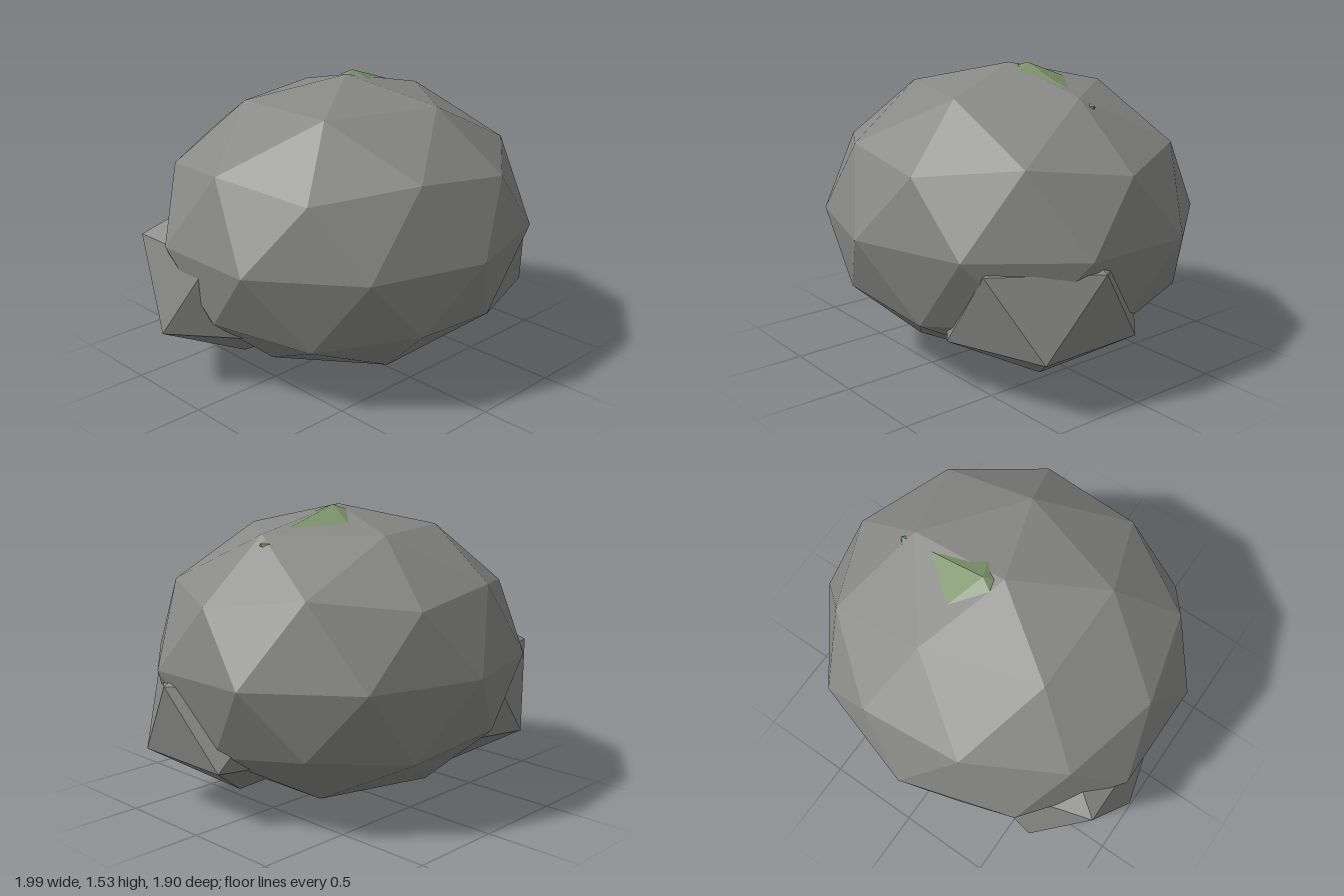
import * as THREE from 'three';

// Faceted ball standing on a pole, with one upper-ring corner pointing to +x,
// stretched to the given radii and moved to its centre.
function stone(name, detail, radii, centre, material) {
  const geometry = new THREE.IcosahedronGeometry(1, detail);
  geometry.rotateX(-Math.atan2((1 + Math.sqrt(5)) / 2, 1));
  geometry.rotateY(Math.PI / 2);
  geometry.scale(...radii);
  geometry.translate(...centre);
  geometry.computeVertexNormals(); // unshared corners give flat facets
  const mesh = new THREE.Mesh(geometry, material);
  mesh.name = name;
  return mesh;
}

export function createModel() {
  const rock = new THREE.MeshStandardMaterial({ color: 0x888886, flatShading: true });
  rock.name = 'rockGrey';
  const moss = new THREE.MeshStandardMaterial({ color: 0x7a9169, flatShading: true });
  moss.name = 'mossGreen';

  const group = new THREE.Group();
  group.name = 'boulder';
  group.add(
    // main boulder
    stone('mainRock', 1, [1.008, 0.765, 0.948], [0.02, 0.768, -0.003], rock),
    // smaller rocks leaning against its base
    stone('frontLeftRock', 0, [0.515, 0.447, 0.545], [0.535, 0.503, 0.22], rock),
    stone('backRightRock', 0, [0.58, 0.488, 0.53], [-0.48, 0.54, -0.275], rock),
    // moss showing through on top
    stone('mossPatch', 0, [0.55, 0.285, 0.43], [0.11, 1.253, -0.05], moss),
  );
  return group;
}
